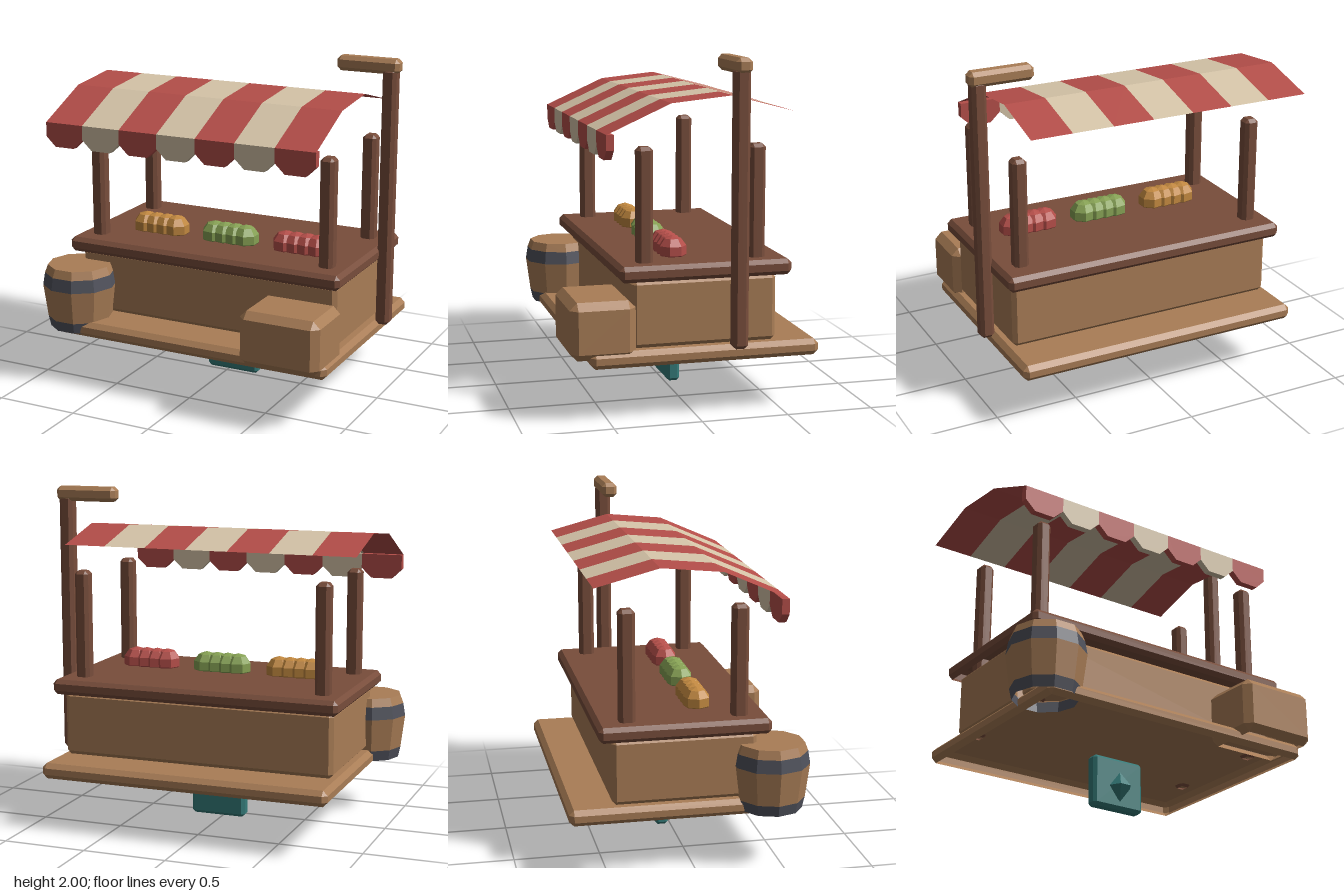
import * as THREE from 'three';
import { ConvexGeometry } from 'three/addons/geometries/ConvexGeometry.js';

const paint = (name, color, side = THREE.FrontSide) => {
  const m = new THREE.MeshStandardMaterial({ color, flatShading: true, side });
  m.name = name;
  return m;
};

// Copy of a geometry without the flat face on its underside
function withoutBottom(geometry) {
  geometry.computeBoundingBox();
  const floor = geometry.boundingBox.min.y + 1e-4;
  const p = geometry.attributes.position;
  const kept = [];
  for (let i = 0; i < p.count; i += 3) {
    const corners = [0, 1, 2].map(k => new THREE.Vector3().fromBufferAttribute(p, i + k));
    if (corners.some(c => c.y > floor)) kept.push(...corners);
  }
  const open = new THREE.BufferGeometry().setFromPoints(kept);
  open.computeVertexNormals();
  return open;
}

export function createModel() {
  const stall = new THREE.Group();
  stall.name = 'marketStall';

  const wood = paint('lightWood', 0xa97d56, THREE.DoubleSide);
  const darkWood = paint('darkWood', 0x784d3b, THREE.DoubleSide);
  const red = paint('redCloth', 0xb44e49, THREE.DoubleSide);
  const cream = paint('creamCloth', 0xd5c4a8, THREE.DoubleSide);
  const iron = paint('iron', 0x4f515b, THREE.DoubleSide);
  const teal = paint('teal', 0x347a78);
  const orange = paint('orangeFruit', 0xc0873f);
  const green = paint('greenFruit', 0x85a053);

  const add = (name, geometry, material, parent = stall) => {
    const mesh = new THREE.Mesh(geometry, material);
    mesh.name = name;
    parent.add(mesh);
    return mesh;
  };

  // Box with chamfered edges, given by its ranges in x, y and z
  const chamferBox = (name, [x0, x1], [y0, y1], [z0, z1], bevel, material, open = false) => {
    const c = [(x0 + x1) / 2, (y0 + y1) / 2, (z0 + z1) / 2];
    const h = [(x1 - x0) / 2, (y1 - y0) / 2, (z1 - z0) / 2];
    const points = [];
    for (const sx of [-1, 1]) for (const sy of [-1, 1]) for (const sz of [-1, 1]) {
      const s = [sx, sy, sz];
      for (let full = 0; full < 3; full++) {
        points.push(new THREE.Vector3(
          ...s.map((sign, i) => sign * (h[i] - (i === full ? 0 : bevel)))));
      }
    }
    const solid = new ConvexGeometry(points);
    add(name, open ? withoutBottom(solid) : solid, material).position.set(...c);
  };

  // Platform, counter body and counter top, hollow from below
  chamferBox('platform', [-0.846, 0.912], [0.306, 0.4], [-0.717, 0.605], 0.028, wood, true);
  chamferBox('counterBody', [-0.805, 0.869], [0.402, 0.785], [-0.468, 0.362], 0.024, wood, true);
  chamferBox('counterTop', [-0.85, 0.914], [0.782, 0.872], [-0.546, 0.44], 0.024, darkWood, true);

  // Four awning posts
  for (const x of [-0.718, 0.778]) {
    for (const z of [-0.371, 0.275]) {
      chamferBox('awningPost', [x - 0.043, x + 0.043], [0.385, 1.513],
        [z - 0.046, z + 0.046], 0.02, darkWood, true);
    }
  }

  // Tall side post with its arm
  chamferBox('tallPost', [0.901, 0.986], [0.39, 1.945], [-0.272, -0.182], 0.02, darkWood);
  chamferBox('postArm', [0.617, 1], [1.912, 2], [-0.277, -0.185], 0.022, wood);

  // Crate at the front corner
  chamferBox('crate', [0.418, 0.908], [0.355, 0.682], [0.345, 0.715], 0.042, wood, true);

  // Sign board with gem below the platform
  chamferBox('signBoard', [-0.14, 0.202], [0, 0.309], [-0.094, -0.012], 0.018, teal);
  const gem = add('gem', new THREE.SphereGeometry(1, 6, 2), teal);
  gem.scale.set(0.07, 0.09, 0.068);
  gem.position.set(0.031, 0.13, 0);

  // Striped awning with a scalloped valance
  const awning = new THREE.Group();
  awning.name = 'awning';
  stall.add(awning);
  const left = -0.958, width = 1.745 / 7;
  const arch = [[-0.585, 1.687], [-0.225, 1.781], [0.122, 1.746], [0.487, 1.583]];
  for (let i = 0; i < 7; i++) {
    const x = left + i * width;
    const cloth = i % 2 ? cream : red;

    const sheet = new THREE.PlaneGeometry(width, 1, 1, 3);
    const p = sheet.attributes.position;
    for (let v = 0; v < p.count; v++) {
      const [z, y] = arch[Math.floor(v / 2)];
      p.setXYZ(v, x + (v % 2) * width, y, z);
    }
    sheet.computeVertexNormals();
    add('awningStripe', sheet, cloth, awning);

    const flap = new THREE.Shape([
      [0, 1.583], [0, 1.497], [0.25, 1.438], [0.75, 1.438], [1, 1.497], [1, 1.583],
    ].map(([u, y]) => new THREE.Vector2(x + u * width, y)));
    const valance = new THREE.ExtrudeGeometry(flap, { depth: 0.043, bevelEnabled: false });
    add('valanceFlap', valance, cloth, awning).position.z = 0.445;
  }

  // Barrel, open below: staves and iron hoops follow one bulging profile
  const barrel = new THREE.Group();
  barrel.name = 'barrel';
  barrel.position.set(-0.776, 0, 0.45);
  stall.add(barrel);
  const sections = [
    ['bottomHoop', iron, [[0.184, 0.328], [0.198, 0.393]]],
    ['staves', wood, [[0.198, 0.393], [0.224, 0.593]]],
    ['topHoop', iron, [[0.224, 0.593], [0.211, 0.67]]],
    ['barrelTop', wood, [[0.211, 0.67], [0.192, 0.72], [0, 0.72]]],
  ];
  for (const [name, material, profile] of sections) {
    const points = profile.map(([r, y]) => new THREE.Vector2(r, y));
    add(name, new THREE.LatheGeometry(points, 10, Math.PI / 10), material, barrel);
  }

  // Heaps of fruit on the counter
  const fruit = new THREE.SphereGeometry(0.083, 7, 5);
  for (const [name, x, material] of [
    ['orangeFruit', -0.41, orange], ['greenFruit', 0.061, green], ['redFruit', 0.53, red],
  ]) {
    const heap = new THREE.Group();
    heap.name = name + 'Heap';
    stall.add(heap);
    for (let i = 0; i < 4; i++) {
      const piece = add(name, fruit, material, heap);
      piece.position.set(x + (i - 1.5) * 0.069, 0.903, 0.074);
    }
  }

  return stall;
}
